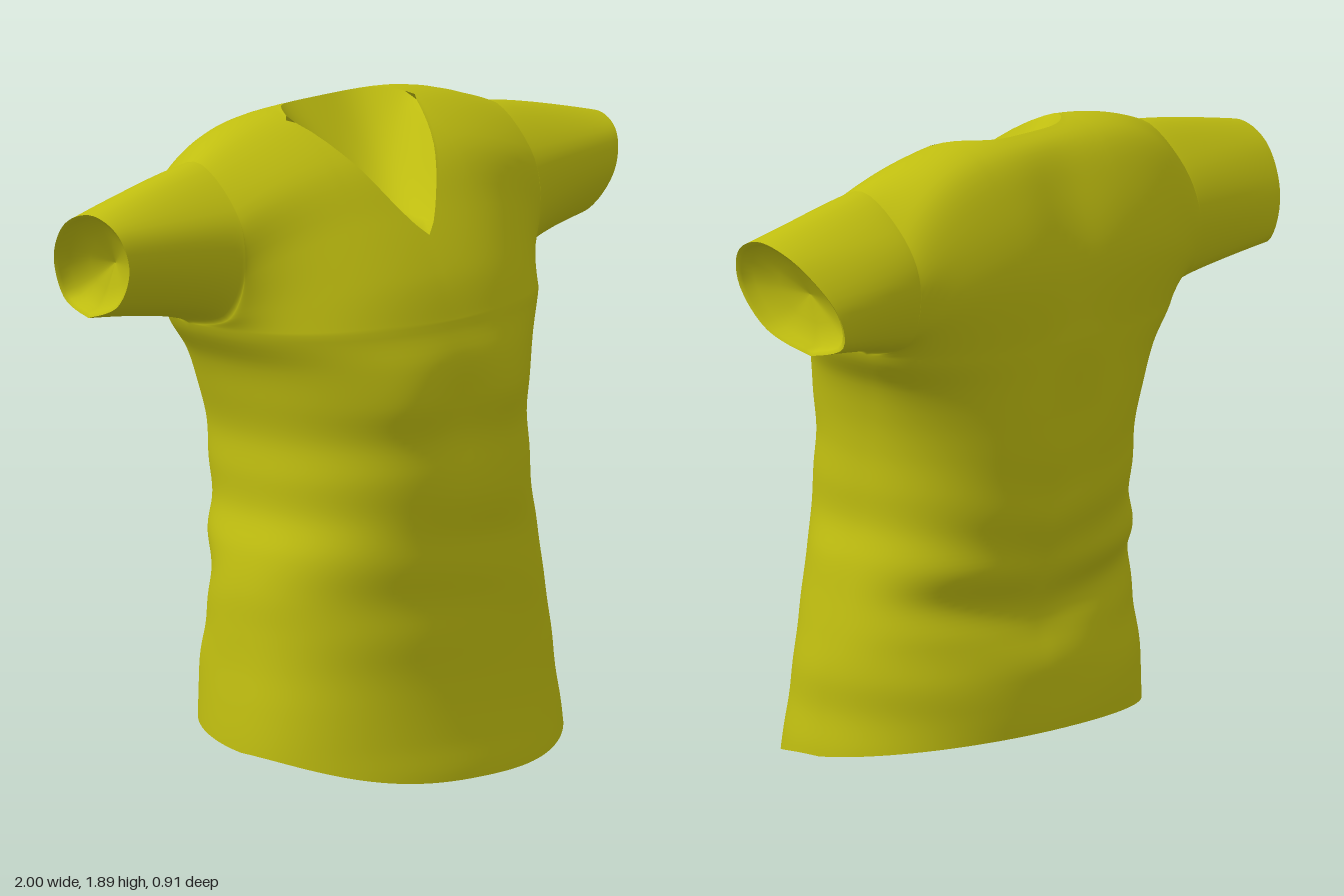
import * as THREE from 'three';
import { mergeGeometries, mergeVertices } from 'three/addons/utils/BufferGeometryUtils.js';

const lerp = THREE.MathUtils.lerp;
const TOP = 1.32; // armpit height, where torso meets yoke
const MID = 0.02; // x of the neckline point

// Torso measurements at equal height steps from 0 to TOP
const table = (values) => {
  const c = new THREE.SplineCurve(values.map((v, i) => new THREE.Vector2(i, v)));
  return (y) => c.getPoint(THREE.MathUtils.clamp(y / TOP, 0, 1)).y;
};
const sideR = table([-.56, -.556, -.545, -.53, -.52, -.51, -.485, -.445, -.44, -.435, -.46, -.495, -.56]);
const sideL = table([.59, .588, .575, .575, .56, .54, .52, .49, .49, .49, .505, .54, .61]);
const frontZ = table([.46, .435, .415, .40, .395, .385, .385, .39, .385, .37, .38, .375, .34]);
const backZ = table([-.42, -.42, -.42, -.41, -.37, -.355, -.40, -.42, -.435, -.445, -.45, -.45, -.45]);
const seamZ = table([.05, .05, .04, .02, 0, 0, 0, -.02, -.03, -.05, -.08, -.12, -.16]);

// [y, z] sections running from front base over the shoulder to back base
const chest = [[1.32, .34], [1.45, .29], [1.62, .185], [1.78, .06], [1.89, -.13], [1.865, -.29], [1.73, -.39], [1.54, -.455], [1.32, -.45]];
const armhole = [[1.32, -.16], [1.36, 0], [1.5, .07], [1.67, .04], [1.80, -.13], [1.70, -.30], [1.55, -.375], [1.38, -.33], [1.32, -.16]];
const cuff = [[1.38, -.22], [1.44, -.07], [1.56, .01], [1.67, -.01], [1.715, -.11], [1.665, -.24], [1.54, -.34], [1.42, -.335], [1.38, -.22]];
const section = (a, b, weight) => new THREE.SplineCurve(
  a.map((p, i) => new THREE.Vector2(lerp(p[0], b[i][0], weight(i)), lerp(p[1], b[i][1], weight(i)))));

const power = (v, e) => Math.sign(v) * Math.abs(v) ** e;
const bump = (v, centre, width) => Math.exp(-(((v - centre) / width) ** 2));
const YOKE_ROUND = 0.83;

// Rounded torso outline at angle a (0 = left side, PI/2 = front), with soft folds
function torsoPoint(a, v) {
  const s = Math.abs(Math.sin(a)) < 1e-9 ? 0 : Math.sin(a);
  const hem = s > 0 ? 0.09 * (1 - s * s) ** 1.3 : 0.09 - 0.07 * s;
  const y = lerp(hem, TOP, v);
  const round = lerp(0.93, YOKE_ROUND, y / TOP); // oval hem, squarer chest
  const C = power(Math.cos(a), round), S = power(s, round);
  const x = MID + C * (C > 0 ? sideL(y) - MID : MID - sideR(y));
  let z = seamZ(y) + Math.abs(S) * ((S > 0 ? frontZ(y) : backZ(y)) - seamZ(y));
  const fade = THREE.MathUtils.smoothstep(TOP - y, 0, 0.25);
  if (S > 0) {
    // bust fullness and the hollow between
    z += fade * S * 0.018 * bump(y, 1.1, 0.18) * (bump(Math.abs(x - MID), 0.22, 0.14) - 0.7 * bump(x, MID, 0.1));
    z += 0.005 * S * Math.sin(24 * y + 4 * x) * bump(y, 0.62, 0.25);
  } else {
    // spine hollow and slanting waist creases
    z -= fade * S * 0.018 * bump(x, MID, 0.1) * bump(y, 1.1, 0.35);
    z -= 0.009 * S * Math.sin(30 * y - 7 * Math.abs(x - 0.1)) * bump(y, 0.6, 0.25);
  }
  return new THREE.Vector3(x, y, z);
}

// Surface from a rule giving the point at column i and row j
function grid(columns, rows, point) {
  const position = [], index = [];
  for (let i = 0; i <= columns; i++)
    for (let j = 0; j <= rows; j++) {
      position.push(...point(i, j).toArray());
      if (i < columns && j < rows) {
        const a = i * (rows + 1) + j, b = a + rows + 1;
        index.push(a, a + 1, b, b, a + 1, b + 1);
      }
    }
  const g = new THREE.BufferGeometry();
  g.setAttribute('position', new THREE.Float32BufferAttribute(position, 3));
  g.setIndex(index);
  return g;
}

// Sleeve slice: k = 0 at the armhole, 1 at the cuff; the underarm rounds off early
function sleeveSlice(side, k) {
  const root = side > 0 ? sideL(TOP) : sideR(TOP);
  const ease = [.5, .55, .7, .9, 1.2, 1.4, 1.8, .8, .5];
  const curve = section(armhole, cuff, (i) => k ** ease[i]);
  const point = (t) => {
    const p = curve.getPoint(t / 8);
    // cuff edge slants in below and curves in at front and back
    const slant = 0.085 * Math.max(0, (1.715 - p.x) / 0.33) ** 1.4 + 0.7 * (p.y + 0.11) ** 2;
    return new THREE.Vector3(lerp(root, side * (1 - slant), k), p.x, p.y);
  };
  return { point, frontEnd: 3.9, backStart: 3.9 };
}

// Yoke slice above torso angle a, cut short where the neck opens
function yokeSlice(a) {
  const x = torsoPoint(a, 1).x;
  const S = Math.abs(Math.sin(a)) ** YOKE_ROUND;
  const C = Math.abs(Math.cos(a)) ** YOKE_ROUND;
  const front = 1 - C ** 2.5, back = 1 - C ** 4;
  const weights = [S, (S + front) / 2, front, front, front, back, back, (S + back) / 2, S];
  const curve = section(armhole, chest, (i) => weights[i]);
  const d = Math.min(1, x < MID ? (MID - x) / 0.235 : (x - MID) / 0.26);
  return {
    point: (t) => {
      const p = curve.getPoint(t / 8);
      // spine hollow between the shoulder blades
      const hollow = 0.018 * bump(x, MID, 0.12) * Math.sin(Math.PI * Math.max(0, t - 5) / 3);
      return new THREE.Vector3(x, p.x, p.y + hollow);
    },
    frontEnd: 1.62 + 2.28 * d ** 1.3,
    backStart: 3.9 + 0.78 * (1 - d ** 4),
    neck: d < 1,
  };
}

export function createModel() {
  const group = new THREE.Group();
  const material = new THREE.MeshStandardMaterial({ color: 0xc0be10, side: THREE.DoubleSide });
  const add = (name, parts) => {
    const g = mergeVertices(mergeGeometries(parts), 1e-4);
    g.computeVertexNormals();
    const mesh = new THREE.Mesh(g, material);
    mesh.name = name;
    group.add(mesh);
  };

  // Slices from the left cuff across the shoulders to the right cuff
  const half = 96, sleeveSteps = 20, slices = [];
  // steps bunch towards the armhole
  for (let i = 0; i < sleeveSteps; i++) slices.push(sleeveSlice(1, (1 - i / sleeveSteps) ** 1.6));
  for (let i = 0; i <= half; i++) slices.push(yokeSlice(Math.PI * i / half));
  for (let i = 1; i <= sleeveSteps; i++) slices.push(sleeveSlice(-1, (i / sleeveSteps) ** 1.6));
  const last = slices.length - 1, rows = 24;

  // Shirt: torso, yoke front, yoke back and both sleeves in one cloth
  const torso = (i, j) => torsoPoint(Math.PI * i / half, j / 72);
  add('shirt', [
    grid(half * 2, 72, torso),
    grid(last, rows, (i, j) => slices[i].point(slices[i].frontEnd * j / rows)),
    grid(last, rows, (i, j) => slices[i].point(lerp(slices[i].backStart, 8, j / rows))),
  ]);

  // Neck lining sags between the front and back neck edges
  const open = slices.filter((s) => s.neck);
  add('neckLining', [grid(open.length - 1, 12, (i, j) => {
    const s = open[i], v = j / 12;
    const p = s.point(s.frontEnd).lerp(s.point(s.backStart), v);
    p.y -= 0.09 * Math.sin(Math.PI * v) * Math.sin(Math.PI * i / (open.length - 1));
    return p;
  })]);

  // Hem lining closes the bottom, slightly hollow
  add('hemLining', [grid(half, 12, (i, j) => {
    const a = Math.PI * i / half, v = j / 12;
    const p = torsoPoint(a, 0).lerp(torsoPoint(-a, 0), v);
    p.y += 0.04 * Math.sin(Math.PI * v) * Math.sin(a);
    return p;
  })]);

  // Cuff linings: a narrow turned-in rim and a recessed centre
  for (const side of [1, -1]) {
    const slice = sleeveSlice(side, 1);
    const centre = new THREE.Vector3(side * 0.9, 1.545, -0.165);
    const steps = [[1, 0], [.93, .005], [.88, .04], [.5, .05], [.01, .05]];
    add(side > 0 ? 'leftCuffLining' : 'rightCuffLining', [grid(48, steps.length - 1, (i, j) => {
      const p = slice.point(8 * i / 48).lerp(centre, 1 - steps[j][0]);
      p.x -= side * steps[j][1];
      return p;
    })]);
  }
  return group;
}
